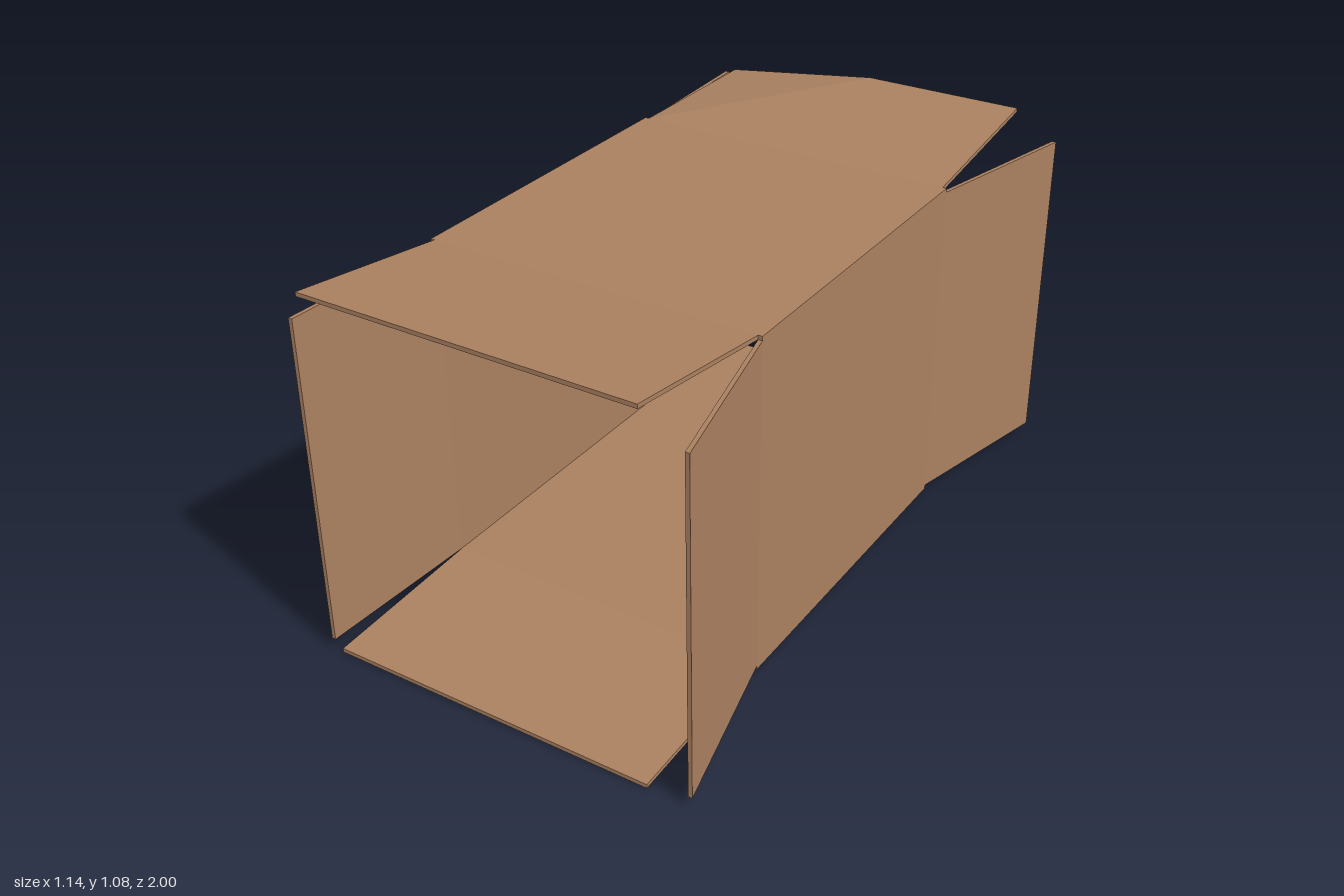
import * as THREE from 'three';

const L = -0.535, R = 0.438, B = 0.033, T = 1.0; // inside of the box
const W = 0.012;                                 // cardboard thickness
const HINGE = 0.5, END = 1;

// A sheet: a fan of triangles over the outline, thickened by an offset
function sheet(outline, offset) {
  const off = new THREE.Vector3(...offset);
  let low = outline.map((p) => new THREE.Vector3(...p));
  const a = low[1].clone().sub(low[0]), b = low[2].clone().sub(low[0]);
  if (a.cross(b).dot(off) < 0) low = [low[0], ...low.slice(1).reverse()];
  const high = low.map((p) => p.clone().add(off));
  const tris = [];
  const n = low.length;
  for (let i = 1; i < n - 1; i++) {
    tris.push(high[0], high[i], high[i + 1], low[0], low[i + 1], low[i]);
  }
  for (let i = 0; i < n; i++) {
    const j = (i + 1) % n;
    tris.push(low[i], low[j], high[j], low[i], high[j], high[i]);
  }
  const geometry = new THREE.BufferGeometry().setFromPoints(tris);
  geometry.computeVertexNormals();
  return geometry;
}

export function createModel() {
  const group = new THREE.Group();
  const cardboard = new THREE.MeshStandardMaterial({ color: 0xaa8060 });
  cardboard.name = 'cardboard';
  const add = (name, geometry) => {
    const mesh = new THREE.Mesh(geometry, cardboard);
    mesh.name = name;
    group.add(mesh);
  };

  // Square sleeve, open at both ends
  const rect = (Type, x0, y0, x1, y1) => new Type([
    new THREE.Vector2(x0, y0), new THREE.Vector2(x1, y0),
    new THREE.Vector2(x1, y1), new THREE.Vector2(x0, y1),
  ]);
  const ring = rect(THREE.Shape, L - W, B - W, R + W, T + W);
  ring.holes.push(rect(THREE.Path, L, B, R, T));
  const sleeve = new THREE.ExtrudeGeometry(ring, { depth: 2 * HINGE, bevelEnabled: false });
  sleeve.translate(0, 0, -HINGE);
  add('boxWalls', sleeve);

  // Four flaps at each end, each opened outward by its own amount
  for (const s of [1, -1]) {
    const end = s > 0 ? 'front' : 'back';
    const h = s * HINGE, e = s * END;
    const side = (x, spread) => [[x, B, h], [x, T, h], [x + spread, T, e], [x + spread, B, e]];
    add(end + 'LeftFlap', sheet(side(R, 0.118), [W, 0, 0]));
    add(end + 'RightFlap', sheet(side(L, -0.023), [-W, 0, 0]));
    add(end + 'BottomFlap', sheet([[L, B, h], [R, B, h], [R, W, e], [L, W, e]], [0, -W, 0]));
    // The back top flap has one corner bent down
    const corner = s > 0 ? T + 0.067 : T;
    add(end + 'TopFlap', sheet([
      [(L + R) / 2, T + 0.067, e], [L, corner, e], [L, T, h], [R, T, h], [R, T + 0.067, e],
    ], [0, W, 0]));
  }
  return group;
}
